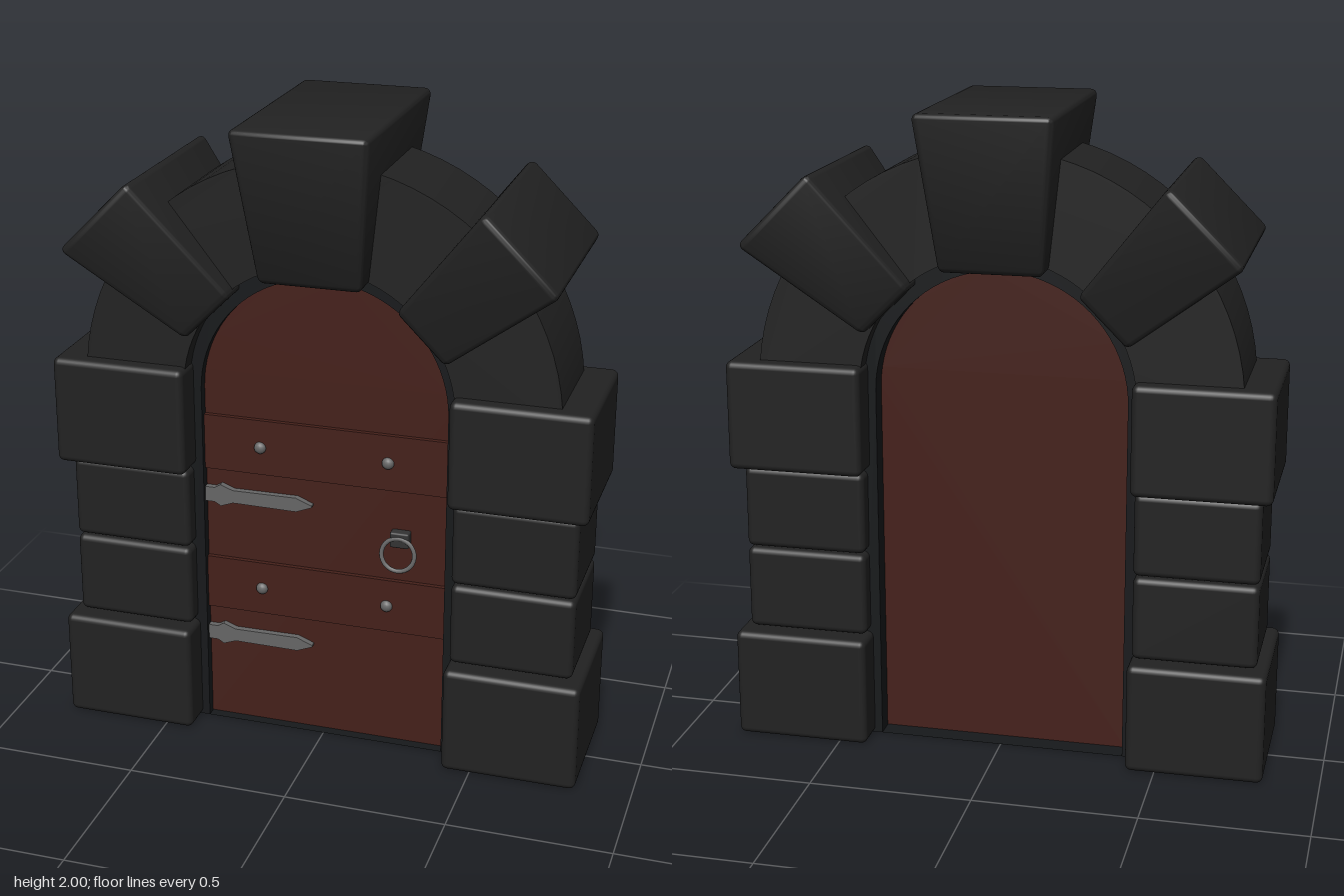
import * as THREE from 'three';
import { toCreasedNormals } from 'three/addons/utils/BufferGeometryUtils.js';
import { RoundedBoxGeometry } from 'three/addons/geometries/RoundedBoxGeometry.js';

const paint = (color) => new THREE.MeshStandardMaterial({ color });
const stone = paint(0x222222);
const frameDark = paint(0x17191b);
const wood = paint(0x45201a);
const iron = paint(0x666666);
const ironDark = paint(0x333333);

export function createModel() {
  const model = new THREE.Group();

  function add(name, geometry, material, x = 0, y = 0, z = 0, parent = model) {
    const mesh = new THREE.Mesh(geometry, material);
    mesh.name = name;
    mesh.position.set(x, y, z);
    parent.add(mesh);
    return mesh;
  }

  // Extrude a shape between two depths
  function slab(shape, z0, z1, curveSegments = 12) {
    const g = new THREE.ExtrudeGeometry(shape, { depth: z1 - z0, bevelEnabled: false, curveSegments });
    g.translate(0, 0, z0);
    return toCreasedNormals(g, 0.6);
  }

  // Upright outline with a round head
  function archOutline(target, r, springY, bottom) {
    target.moveTo(-r, bottom);
    target.lineTo(r, bottom);
    target.lineTo(r, springY);
    target.absarc(0, springY, r, 0, Math.PI, false);
    target.lineTo(-r, bottom);
    return target;
  }

  // Stone block that narrows towards its lower end
  function wedge(wTop, wBottom, dTop, dBottom, h) {
    const g = new RoundedBoxGeometry(wTop, h, dTop, 3, 0.022);
    const p = g.attributes.position;
    for (let i = 0; i < p.count; i++) {
      const t = p.getY(i) / h + 0.5;
      p.setX(i, p.getX(i) * THREE.MathUtils.lerp(wBottom / wTop, 1, t));
      p.setZ(i, p.getZ(i) * THREE.MathUtils.lerp(dBottom / dTop, 1, t));
    }
    return toCreasedNormals(g, 0.7);
  }

  // Side pillars: large block, two small ones, large block
  const courses = [
    [0.0, 0.345, 0.41, 0.83, 0.425],
    [0.35, 0.612, 0.417, 0.797, 0.33],
    [0.617, 0.875, 0.417, 0.797, 0.33],
    [0.88, 1.22, 0.41, 0.83, 0.425],
  ];
  for (const side of [-1, 1]) {
    for (const [y0, y1, x0, x1, depth] of courses) {
      add('pillarBlock', new RoundedBoxGeometry(x1 - x0, y1 - y0, depth, 3, 0.02), stone,
        side * (x0 + x1) / 2, (y0 + y1) / 2, 0);
    }
  }

  // Arch ring carried by the pillars
  const ring = new THREE.Shape();
  ring.absarc(0, 1.15, 0.735, 0, Math.PI, false);
  ring.absarc(0, 1.15, 0.42, Math.PI, 0, true);
  add('archRing', slab(ring, -0.165, 0.165, 20), stone);

  // Keystone and the two slanted wedge stones
  add('keystone', wedge(0.41, 0.31, 0.69, 0.48, 0.47), stone, 0, 1.765, 0);
  for (const side of [-1, 1]) {
    const block = add('wedgeStone', wedge(0.31, 0.205, 0.64, 0.43, 0.435), stone, side * 0.477, 1.553, 0);
    block.rotation.z = -side * Math.PI / 4;
  }

  // Door frame
  const frame = archOutline(new THREE.Shape(), 0.45, 1.13, 0);
  frame.holes.push(archOutline(new THREE.Path(), 0.386, 1.13, 0.0001));
  add('doorFrame', slab(frame, -0.11, 0.11, 20), frameDark);

  // Door leaf with two raised cross boards
  const door = new THREE.Group();
  door.name = 'door';
  model.add(door);
  const face = 0.08;
  add('doorLeaf', slab(archOutline(new THREE.Shape(), 0.386, 1.13, 0.002), -0.05, face, 20), wood, 0, 0, 0, door);
  for (const [y0, y1] of [[0.39, 0.565], [0.867, 1.045]]) {
    const y = (y0 + y1) / 2;
    add('crossBoard', new THREE.BoxGeometry(0.77, y1 - y0, 0.03), wood, 0, y, face, door);
    for (const x of [-0.205, 0.2]) {
      const rivet = add('rivet', new THREE.SphereGeometry(0.019, 14, 10), iron, x, y, face + 0.015, door);
      rivet.scale.z = 0.8;
    }
  }

  // Strap hinges with a flared root and a pointed tip
  const half = [[-0.385, 0.024], [-0.355, 0.024], [-0.335, 0.036], [-0.295, 0.021], [-0.09, 0.023], [-0.04, 0.003]];
  const strap = new THREE.Shape([
    ...half.map(([x, y]) => new THREE.Vector2(x, -y)),
    ...half.slice().reverse().map(([x, y]) => new THREE.Vector2(x, y)),
  ]);
  for (const y of [0.3, 0.782]) add('strapHinge', slab(strap, face - 0.005, face + 0.02), iron, 0, y, 0, door);

  // Ring handle on its bracket
  add('handleBracket', new RoundedBoxGeometry(0.06, 0.05, 0.035, 2, 0.006), ironDark, 0.242, 0.712, face + 0.015, door);
  const handle = add('handleRing', new THREE.TorusGeometry(0.052, 0.007, 8, 28), iron, 0.24, 0.667, face + 0.036, door);
  handle.rotation.x = -0.12;

  return model;
}
